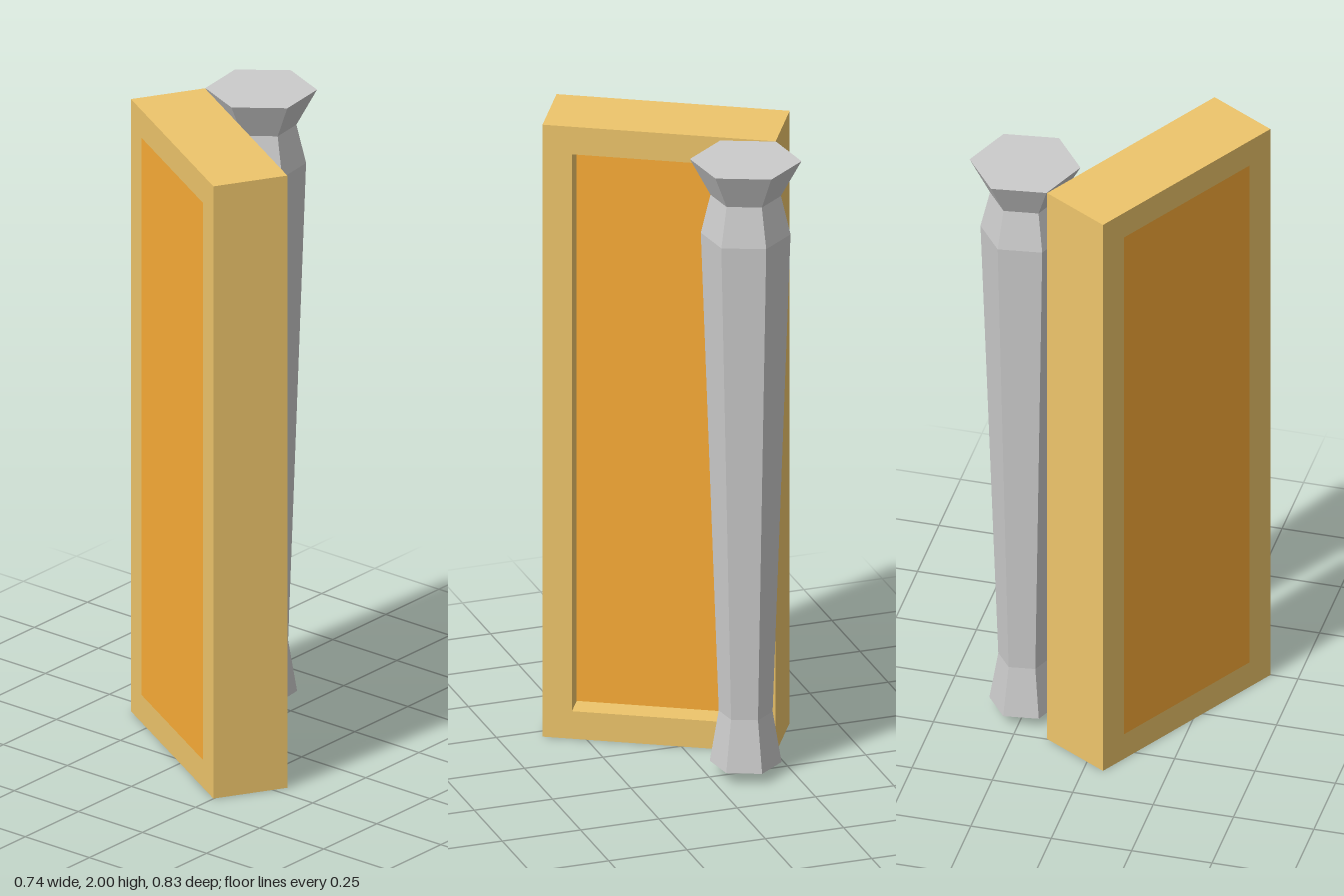
import * as THREE from 'three';

const W = 0.712, H = 2, D = 0.237;      // door size
const BORDER = 0.09, RECESS = 0.08;     // frame width, depth of the back recess

const material = (color) => new THREE.MeshStandardMaterial({ color, flatShading: true });

function part(name, geometry, color) {
  const mesh = new THREE.Mesh(geometry, material(color));
  mesh.name = name;
  return mesh;
}

// Rectangle outline centred on x, from y0 to y1
function rectangle(Type, width, y0, y1) {
  const x = width / 2;
  return new Type().setFromPoints([[-x, y0], [x, y0], [x, y1], [-x, y1]]
    .map(([px, py]) => new THREE.Vector2(px, py))).closePath();
}

function createDoor() {
  const door = new THREE.Group();
  door.name = 'door';

  // Frame with a rectangular opening
  const outline = rectangle(THREE.Shape, W, 0, H);
  outline.holes.push(rectangle(THREE.Path, W - 2 * BORDER, BORDER, H - BORDER));
  const frame = new THREE.ExtrudeGeometry(outline, { depth: D, bevelEnabled: false });
  frame.translate(0, 0, -D / 2);
  door.add(part('frame', frame, 0xeec56b));

  // Panel, flush with the front and set back behind
  const panel = new THREE.BoxGeometry(W - 2 * BORDER, H - 2 * BORDER, D - RECESS);
  panel.translate(0, H / 2, RECESS / 2);
  door.add(part('panel', panel, 0xfaac37));

  door.position.set(0, 0, 0.134);
  door.rotation.y = -Math.PI / 6;
  return door;
}

function createPost() {
  // Six-sided turned post: radius, height
  const profile = [[0, 0.035], [0.108, 0.035], [0.081, 0.2], [0.135, 1.76],
    [0.106, 1.885], [0.168, 2], [0, 2]].map(([r, y]) => new THREE.Vector2(r, y));
  const post = part('post', new THREE.LatheGeometry(profile, 6), 0xcccccc);
  post.position.set(-0.116, 0, -0.251);
  post.rotation.y = THREE.MathUtils.degToRad(7.5);
  return post;
}

export function createModel() {
  const model = new THREE.Group();
  model.name = 'doorWithPost';
  model.add(createDoor(), createPost());
  return model;
}
